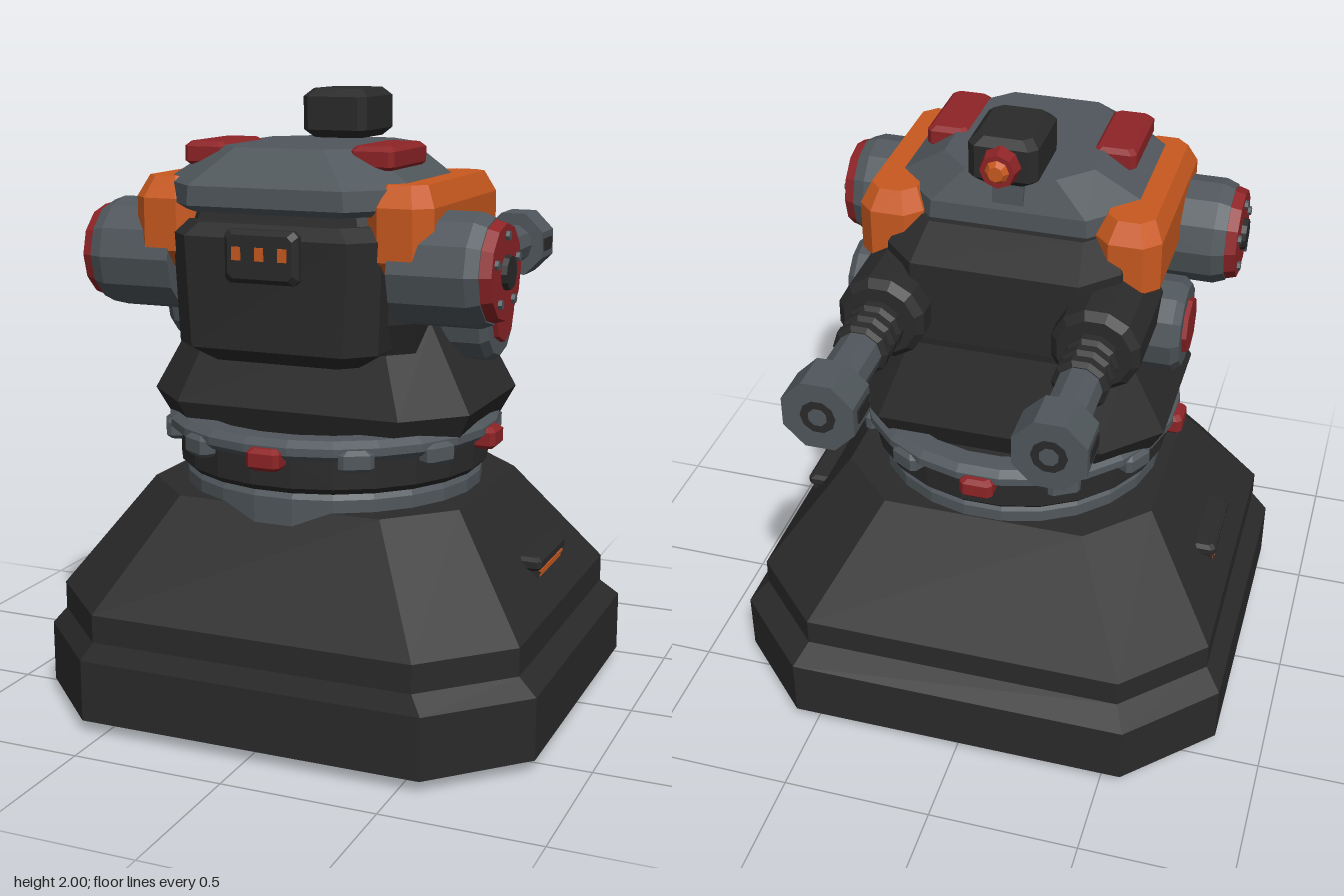
import * as THREE from 'three';

const mat = (name, color) => {
  const m = new THREE.MeshStandardMaterial({ color, flatShading: true });
  m.name = name;
  return m;
};

// Stacked chamfered rectangles: [y, halfWidth, zBack, zFront, chamfer]
function loft(sections, cx = 0) {
  const pos = [], idx = [], n = 8;
  for (const [y, h, b, f, c] of sections) {
    const ring = [[h, f - c], [h, b + c], [h - c, b], [c - h, b], [-h, b + c], [-h, f - c], [c - h, f], [h - c, f]];
    for (const [x, z] of ring) pos.push(x + cx, y, z);
  }
  const last = (sections.length - 1) * n;
  for (let i = 0; i < last; i += n) {
    for (let j = 0; j < n; j++) {
      const k = (j + 1) % n;
      idx.push(i + j, i + k, i + n + k, i + j, i + n + k, i + n + j);
    }
  }
  for (let j = 1; j < n - 1; j++) idx.push(0, j + 1, j, last, last + j, last + j + 1);
  const g = new THREE.BufferGeometry();
  g.setAttribute('position', new THREE.Float32BufferAttribute(pos, 3));
  g.setIndex(idx);
  const flat = g.toNonIndexed();
  flat.computeVertexNormals();
  return flat;
}

// Solid of revolution about y from [radius, y] points
const lathe = (pts, sides) => new THREE.LatheGeometry(pts.map(p => new THREE.Vector2(...p)), sides, Math.PI / sides);

// Bevelled box, centred
function bevelBox(w, h, d, c) {
  const s = (y, i) => [y, w / 2 - i, -d / 2 + i, d / 2 - i, c];
  return loft([s(-h / 2, c), s(-h / 2 + c, 0), s(h / 2 - c, 0), s(h / 2, c)]);
}

export function createModel() {
  const root = new THREE.Group();
  root.name = 'turret';
  const dark = mat('charcoal', 0x2a2a2a);
  const grey = mat('steel grey', 0x50575c);
  const red = mat('deep red', 0x8e2427);
  const orange = mat('burnt orange', 0xc9591f);

  const add = (name, geo, m, x = 0, y = 0, z = 0, parent = root) => {
    const mesh = new THREE.Mesh(geo, m);
    mesh.name = name;
    mesh.position.set(x, y, z);
    parent.add(mesh);
    return mesh;
  };

  // Stepped pedestal
  add('pedestal', loft([
    [0, 0.71, -0.585, 0.73, 0.23], [0.04, 0.84, -0.71, 0.84, 0.27], [0.24, 0.84, -0.71, 0.84, 0.27],
    [0.3, 0.785, -0.64, 0.82, 0.25], [0.39, 0.785, -0.64, 0.82, 0.25], [0.74, 0.53, -0.36, 0.585, 0.19],
  ]), dark);

  // Rotating collar
  const zc = 0.13;
  add('collar', lathe([[0, 0.62], [0.49, 0.62], [0.49, 0.78], [0.47, 0.81], [0, 0.81]], 24), grey, 0, 0, zc);
  add('bearing', lathe([[0, 0.8], [0.49, 0.8], [0.51, 0.82], [0.51, 0.92], [0, 0.92]], 24), dark, 0, 0, zc);
  add('collarRing', lathe([[0.45, 0.91], [0.52, 0.91], [0.545, 0.93], [0.545, 0.955], [0.52, 0.975], [0.45, 0.975], [0.45, 0.91]], 24), grey, 0, 0, zc);
  for (let i = 0; i < 12; i++) {
    const a = i * Math.PI / 6, isRed = i % 3 === 0, r = isRed ? 0.525 : 0.51;
    const b = add(isRed ? 'collarLamp' : 'collarBlock', bevelBox(0.11, 0.07, 0.09, 0.014), isRed ? red : grey,
      Math.sin(a) * r, 0.915, zc + Math.cos(a) * r);
    b.rotation.y = a;
  }

  // Neck and hull
  add('neck', loft([
    [0.94, 0.5, -0.25, 0.49, 0.16], [1.03, 0.545, -0.29, 0.525, 0.17],
    [1.3, 0.4, -0.21, 0.43, 0.12], [1.36, 0.38, -0.19, 0.4, 0.12],
  ]), dark);
  add('hull', loft([
    [1.22, 0.38, -0.2, 0.5, 0.1], [1.32, 0.4, -0.215, 0.56, 0.12],
    [1.59, 0.38, -0.215, 0.58, 0.11], [1.67, 0.33, -0.08, 0.56, 0.08],
  ]), dark);
  add('frontBlock', loft([
    [1.19, 0.25, 0.3, 0.58, 0.05], [1.24, 0.33, 0.25, 0.655, 0.08],
    [1.58, 0.345, 0.25, 0.66, 0.08], [1.62, 0.31, 0.25, 0.63, 0.08],
  ]), dark);
  const panel = add('frontPanel', bevelBox(0.24, 0.05, 0.16, 0.015), dark, 0, 1.53, 0.668);
  panel.rotation.x = Math.PI / 2;
  for (const x of [-0.075, 0, 0.075]) {
    add('panelSlot', new THREE.BoxGeometry(0.028, 0.04, 0.008), orange, x, 1.54, 0.694);
  }

  // Roof
  add('roof', loft([
    [1.65, 0.39, -0.03, 0.64, 0.16], [1.67, 0.415, -0.055, 0.66, 0.16],
    [1.73, 0.41, -0.055, 0.66, 0.16], [1.84, 0.245, -0.02, 0.55, 0.1],
  ]), grey);

  // Sight on top of the roof
  add('sightStem', new THREE.BoxGeometry(0.1, 0.12, 0.08), grey, 0, 1.81, -0.01);
  add('sightBox', bevelBox(0.22, 0.155, 0.27, 0.025), dark, 0, 1.922, 0.013);
  const lens = (name, r1, r2, len, m, z) => {
    add(name, new THREE.CylinderGeometry(r1, r2, len, 8), m, 0, 1.92, z).rotation.x = -Math.PI / 2;
  };
  lens('sightRing', 0.055, 0.065, 0.05, red, -0.142);
  lens('sightLens', 0.025, 0.04, 0.02, orange, -0.175);

  for (const s of [1, -1]) {
    const side = new THREE.Group();
    side.name = s > 0 ? 'leftSide' : 'rightSide';
    root.add(side);
    const put = (name, geo, m, x, y, z) => add(name, geo, m, x * s, y, z, side);
    // Cylinder pointing outwards along x, from x0 to x1
    const drum = (name, r0, r1, x0, x1, sides, m, y, z) => {
      const c = put(name, new THREE.CylinderGeometry(r1, r0, x1 - x0, sides), m, (x0 + x1) / 2, y, z);
      c.rotation.z = -s * Math.PI / 2;
    };
    // Cylinder pointing backwards, from z0 to z1
    const barrel = (name, r0, r1, z0, z1, sides, m) => {
      const g = new THREE.CylinderGeometry(r1, r0, z0 - z1, sides).rotateY(Math.PI / sides);
      put(name, g, m, 0.345, 1.42, (z0 + z1) / 2).rotation.x = -Math.PI / 2;
    };

    // Shoulder armour
    add('shoulderArmour', loft([
      [1.47, 0.075, -0.03, 0.55, 0.04], [1.52, 0.105, -0.09, 0.59, 0.05],
      [1.68, 0.105, -0.09, 0.59, 0.05], [1.745, 0.075, -0.05, 0.55, 0.04],
    ], s * 0.385), orange, 0, 0, 0, side);

    // Large side drum with bolted cover
    drum('drum', 0.175, 0.175, 0.36, 0.6, 12, grey, 1.49, 0.425);
    drum('drumBevel', 0.175, 0.16, 0.6, 0.64, 12, grey, 1.49, 0.425);
    drum('drumCover', 0.155, 0.145, 0.64, 0.675, 12, red, 1.49, 0.425);
    drum('drumHub', 0.055, 0.05, 0.67, 0.692, 12, dark, 1.49, 0.425);
    for (let i = 0; i < 5; i++) {
      const a = i * Math.PI * 0.4;
      drum('drumBolt', 0.017, 0.014, 0.67, 0.686, 6, grey, 1.49 + 0.108 * Math.cos(a), 0.425 + 0.108 * Math.sin(a));
    }

    // Lower pivot
    drum('pivot', 0.155, 0.155, 0.34, 0.535, 12, grey, 1.31, 0.105);
    drum('pivotBevel', 0.155, 0.135, 0.535, 0.56, 12, grey, 1.31, 0.105);
    drum('pivotCap', 0.095, 0.09, 0.555, 0.575, 8, red, 1.31, 0.105);

    // Gun
    barrel('gunSleeve', 0.145, 0.145, 0.05, -0.285, 12, dark);
    barrel('gunSleeveBevel', 0.145, 0.12, -0.285, -0.31, 12, dark);
    barrel('gunCore', 0.07, 0.07, -0.3, -0.5, 10, dark);
    for (const z of [-0.345, -0.405, -0.465]) {
      barrel('gunRibBase', 0.075, 0.09, z + 0.026, z + 0.014, 10, dark);
      barrel('gunRib', 0.09, 0.09, z + 0.014, z - 0.014, 10, dark);
      barrel('gunRibEnd', 0.09, 0.075, z - 0.014, z - 0.026, 10, dark);
    }
    barrel('gunBarrel', 0.072, 0.072, -0.49, -0.72, 10, grey);
    barrel('muzzle', 0.12, 0.12, -0.705, -0.84, 8, grey);
    barrel('muzzleBore', 0.055, 0.055, -0.838, -0.842, 10, dark);
    barrel('muzzleCore', 0.03, 0.03, -0.841, -0.844, 8, grey);
    for (const d of [-0.112, 0.112]) {
      put('muzzleSlot', new THREE.BoxGeometry(0.008, 0.045, 0.09), dark, 0.345 + d, 1.42, -0.765);
    }

    // Roof plate
    put('roofPlate', bevelBox(0.14, 0.075, 0.3, 0.015), red, 0.276, 1.812, 0.355);

    // Glowing vent on the pedestal
    put('ventFrame', bevelBox(0.09, 0.045, 0.29, 0.012), dark, 0.695, 0.527, 0.065);
    put('ventSill', new THREE.BoxGeometry(0.06, 0.02, 0.25), dark, 0.7, 0.493, 0.065);
    for (const [x, y] of [[0.736, 0.505], [0.729, 0.487]]) {
      put('ventLight', new THREE.BoxGeometry(0.02, 0.009, 0.24), orange, x - 0.008, y, 0.065);
    }
  }
  return root;
}
